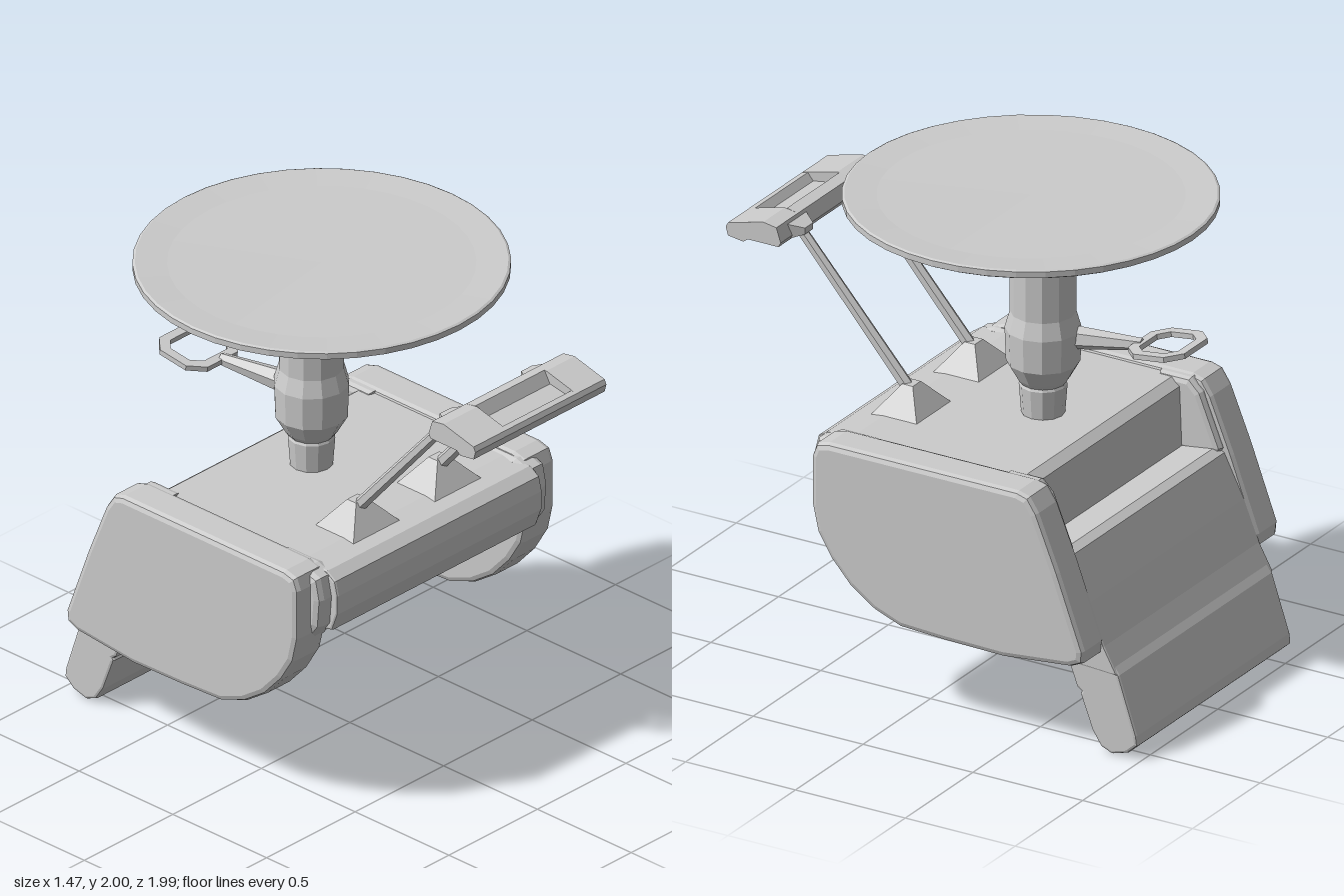
import * as THREE from 'three';

const grey = new THREE.MeshStandardMaterial({ color: 0xcccccc, flatShading: true, side: THREE.DoubleSide });

function add(parent, name, geometry, x = 0, y = 0, z = 0) {
  const mesh = new THREE.Mesh(geometry, grey);
  mesh.name = name;
  mesh.position.set(x, y, z);
  parent.add(mesh);
  return mesh;
}

// Extrudes a [z, y] side profile across the span x0..x1
function sideExtrude(profile, x0, x1, bevel) {
  const shape = new THREE.Shape(profile.map(([z, y]) => new THREE.Vector2(z, y)));
  const geo = new THREE.ExtrudeGeometry(shape, {
    depth: x1 - x0 - 2 * bevel, bevelEnabled: bevel > 0,
    bevelThickness: bevel, bevelSize: bevel, bevelOffset: -bevel, bevelSegments: 2,
  });
  geo.rotateY(-Math.PI / 2);
  geo.translate(x1 - bevel, 0, 0);
  return geo;
}

// Tapered rod between two points
function rod(parent, name, a, b, r0, r1, sides) {
  const dir = b.clone().sub(a);
  const mesh = add(parent, name, new THREE.CylinderGeometry(r1, r0, dir.length(), sides));
  mesh.position.copy(a).addScaledVector(dir, 0.5);
  mesh.quaternion.setFromUnitVectors(new THREE.Vector3(0, 1, 0), dir.normalize());
}

// Four-sided frustum given by half-widths
function frustum(topX, botX, height, depthScale) {
  const geo = new THREE.CylinderGeometry(topX * Math.SQRT2, botX * Math.SQRT2, height, 4);
  geo.rotateY(Math.PI / 4);
  geo.scale(1, 1, depthScale);
  return geo;
}

// Corner-cut rectangle outline
function cutRect(w, d, c) {
  return [[-w, -d + c], [-w + c, -d], [w - c, -d], [w, -d + c], [w, d - c], [w - c, d], [-w + c, d], [-w, d - c]]
    .map(([x, y]) => new THREE.Vector2(x, y));
}

export function createModel() {
  const model = new THREE.Group();
  model.name = 'pedestalUnit';

  // Hollow body: front bar, deck, rear recess and sloped back panel
  add(model, 'body', sideExtrude([
    [0.48, 0.98], [0.465, 1.04], [0.42, 1.07], [0.3, 1.08], [-0.46, 1.08], [-0.5, 1.05], [-0.51, 0.8],
    [-0.65, 0.82], [-0.685, 0.8], [-0.77, 0.62], [-0.835, 0.45], [-0.895, 0.34], [-0.67, 0.35], [-0.66, 0.42],
    [-0.62, 0.6], [-0.55, 0.73], [-0.49, 0.79], [0.38, 0.8], [0.45, 0.82], [0.48, 0.9],
  ], -0.58, 0.58, 0.01));

  // Rear flap hanging below the back panel, with a shallow crease
  add(model, 'rearFlap', sideExtrude([
    [-0.66, 0.38], [-0.85, 0.41], [-0.9, 0.34], [-0.92, 0.28], [-0.98, 0.1], [-0.985, 0.06],
    [-0.94, 0.02], [-0.87, 0], [-0.82, 0.02], [-0.78, 0.08], [-0.725, 0.225], [-0.73, 0.235], [-0.71, 0.25],
  ], -0.57, 0.575, 0.012));

  // Rounded cheek plates on both sides
  const cheek = [
    [0.405, 1.03], [0.385, 1.08], [0.33, 1.095], [-0.53, 1.095], [-0.58, 1.08], [-0.62, 1.02],
    [-0.715, 0.79], [-0.83, 0.48], [-0.825, 0.43], [-0.77, 0.405], [-0.47, 0.375], [-0.2, 0.38], [0, 0.39],
    [0.12, 0.435], [0.23, 0.51], [0.32, 0.61], [0.38, 0.71], [0.405, 0.82],
  ];
  add(model, 'leftCheek', sideExtrude(cheek, 0.56, 0.73, 0.025));
  add(model, 'rightCheek', sideExtrude(cheek, -0.73, -0.56, 0.025));

  // Chamfered corners joining the cheeks to the bar and to the rear recess
  const front = [[0.45, 0.97], [0.43, 1.06], [0.36, 1.085], [0.2, 1.085], [0.2, 0.78], [0.39, 0.78], [0.44, 0.85]];
  const rear = [[-0.4, 1.09], [-0.54, 1.09], [-0.59, 1.04], [-0.68, 0.82], [-0.66, 0.78], [-0.4, 0.78]];
  for (const s of [-1, 1]) {
    add(model, 'frontCorner', sideExtrude(front, s * 0.59 - 0.06, s * 0.59 + 0.06, 0.03));
    add(model, 'rearCorner', sideExtrude(rear, s * 0.58 - 0.05, s * 0.58 + 0.05, 0.025));
  }

  // Pedestal column: narrow neck, swollen collar and straight upper tube
  const column = [[0, 1.07], [0.085, 1.07], [0.095, 1.2], [0.09, 1.21], [0.105, 1.23], [0.145, 1.3], [0.15, 1.44],
    [0.13, 1.51], [0.13, 1.76], [0, 1.76]].map(([r, y]) => new THREE.Vector2(r, y));
  add(model, 'column', new THREE.LatheGeometry(column, 12), 0, 0, -0.205);

  // Square flare under the round top
  add(model, 'topFlare', frustum(0.21, 0.12, 0.12, 1.2), 0, 1.79, -0.205);

  // Shallow dish-shaped round top
  const top = [[0, 1.84], [0.22, 1.85], [0.4, 1.89], [0.6, 1.945], [0.72, 1.962], [0.735, 1.97], [0.735, 1.995],
    [0.725, 2], [0.6, 1.992], [0, 1.99]].map(([r, y]) => new THREE.Vector2(r, y));
  add(model, 'roundTop', new THREE.LatheGeometry(top, 40), 0, 0, -0.15);

  // Rear lever: tapering stem and a flat open grip
  rod(model, 'leverStem', new THREE.Vector3(-0.03, 1.41, -0.3), new THREE.Vector3(-0.09, 1.425, -0.6), 0.05, 0.025, 6);
  const grip = new THREE.Shape(cutRect(0.145, 0.13, 0.06));
  grip.holes.push(new THREE.Path(cutRect(0.105, 0.09, 0.04).reverse()));
  const gripGeo = new THREE.ExtrudeGeometry(grip, { depth: 0.022, bevelEnabled: false });
  gripGeo.rotateX(-Math.PI / 2 + 0.13);
  add(model, 'leverGrip', gripGeo, -0.105, 1.43, -0.71);

  // Front handle: pyramid feet, slanted arms, brackets and a bar
  for (const x of [-0.225, 0.235]) {
    add(model, 'handleFoot', frustum(0.03, 0.14, 0.12, 0.8), x, 1.125, 0.25);
    rod(model, 'handleArm', new THREE.Vector3(x, 1.14, 0.245), new THREE.Vector3(x + 0.01, 1.74, 0.76), 0.027, 0.022, 6);
    const bracket = frustum(0.03, 0.08, 0.07, 0.45);
    bracket.rotateX(-Math.PI / 2);
    add(model, 'handleBracket', bracket, x + 0.01, 1.735, 0.745);
  }
  const under = [[0.99, 1.695], [0.92, 1.685], [0.9, 1.7], [0.76, 1.7], [0.75, 1.72]];
  const bar = [...under, [0.77, 1.78], [0.83, 1.79], [0.99, 1.75], [1, 1.73]];
  const notched = [...under, [0.77, 1.78], [0.82, 1.79], [0.85, 1.74], [0.94, 1.725], [0.965, 1.755], [0.99, 1.75], [1, 1.73]];
  add(model, 'handleBarRightEnd', sideExtrude(bar, -0.35, -0.16, 0));
  add(model, 'handleBarMiddle', sideExtrude(notched, -0.16, 0.23, 0));
  add(model, 'handleBarLeftEnd', sideExtrude(bar, 0.23, 0.39, 0));

  return model;
}
